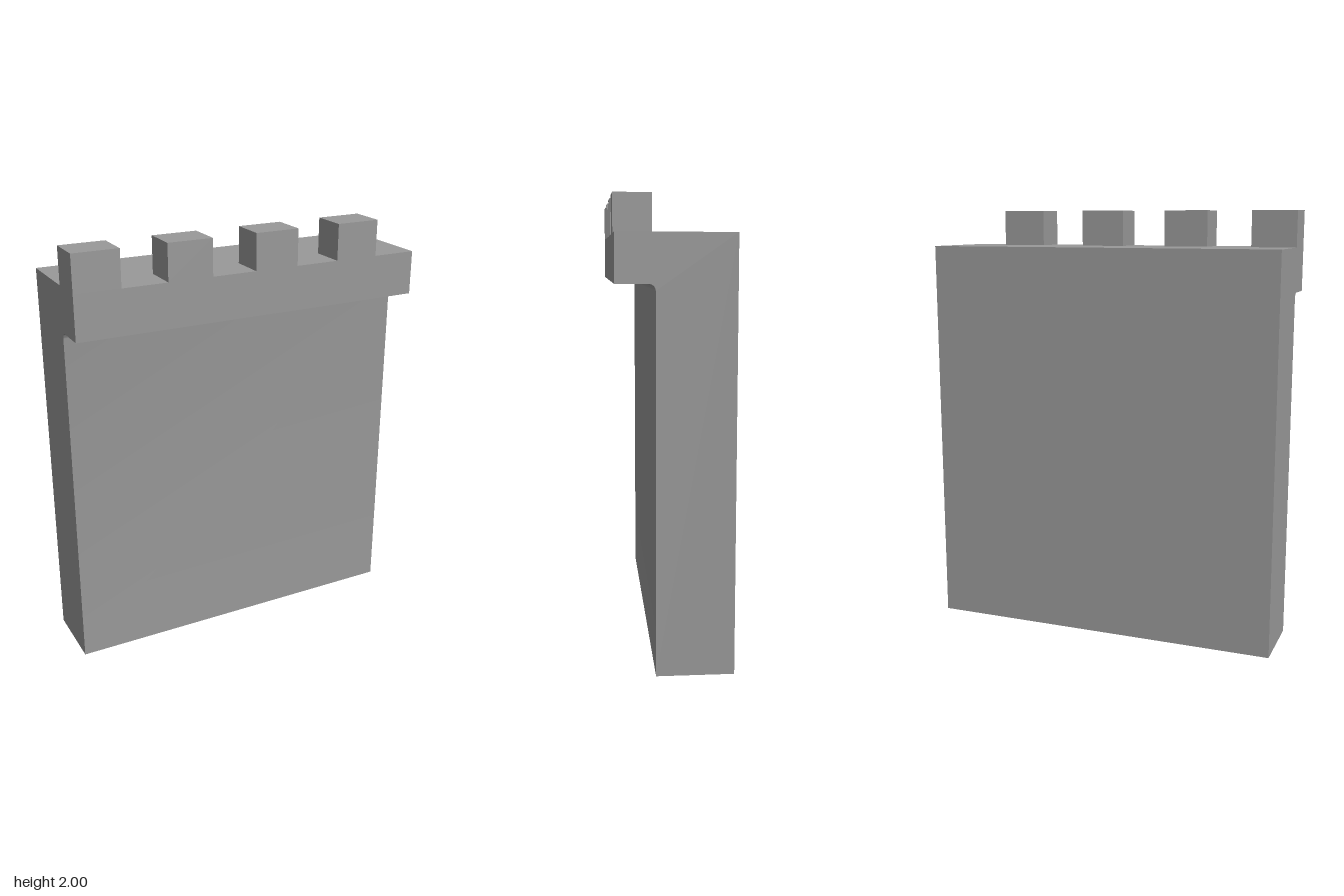
import * as THREE from 'three';
import { toCreasedNormals } from 'three/addons/utils/BufferGeometryUtils.js';

const WIDTH = 1.667, BACK = -0.247, FACE = 0.083, FRONT = 0.247;
const LEDGE = 1.631, WALK = 1.834, TOP = 2, FILLET = 0.028;

export function createModel() {
  const group = new THREE.Group();
  group.name = 'battlementWall';
  const material = new THREE.MeshStandardMaterial({ color: 0x999999 });

  // Wall with overhanging parapet: side profile (z, y) with a small cove under the ledge
  const profile = new THREE.Shape();
  profile.moveTo(BACK, 0);
  profile.lineTo(FACE, 0);
  profile.lineTo(FACE, LEDGE - FILLET);
  profile.absarc(FACE + FILLET, LEDGE - FILLET, FILLET, Math.PI, Math.PI / 2, true);
  profile.lineTo(FRONT, LEDGE);
  profile.lineTo(FRONT, WALK);
  profile.lineTo(BACK, WALK);
  profile.closePath();
  const wallGeometry = new THREE.ExtrudeGeometry(profile, { depth: WIDTH, bevelEnabled: false, curveSegments: 3 });
  wallGeometry.rotateY(-Math.PI / 2).translate(WIDTH / 2, 0, 0);
  const wall = new THREE.Mesh(toCreasedNormals(wallGeometry, Math.PI / 6), material);
  wall.name = 'wall';
  group.add(wall);

  // Four merlons, each followed by a gap of the same width
  const step = WIDTH / 8;
  const merlonGeometry = new THREE.BoxGeometry(step, TOP - WALK, FRONT - FACE);
  for (let i = 0; i < 4; i++) {
    const merlon = new THREE.Mesh(merlonGeometry, material);
    merlon.name = `merlon${i + 1}`;
    merlon.position.set(-WIDTH / 2 + step * (2 * i + 0.5), (TOP + WALK) / 2, (FRONT + FACE) / 2);
    group.add(merlon);
  }
  return group;
}
